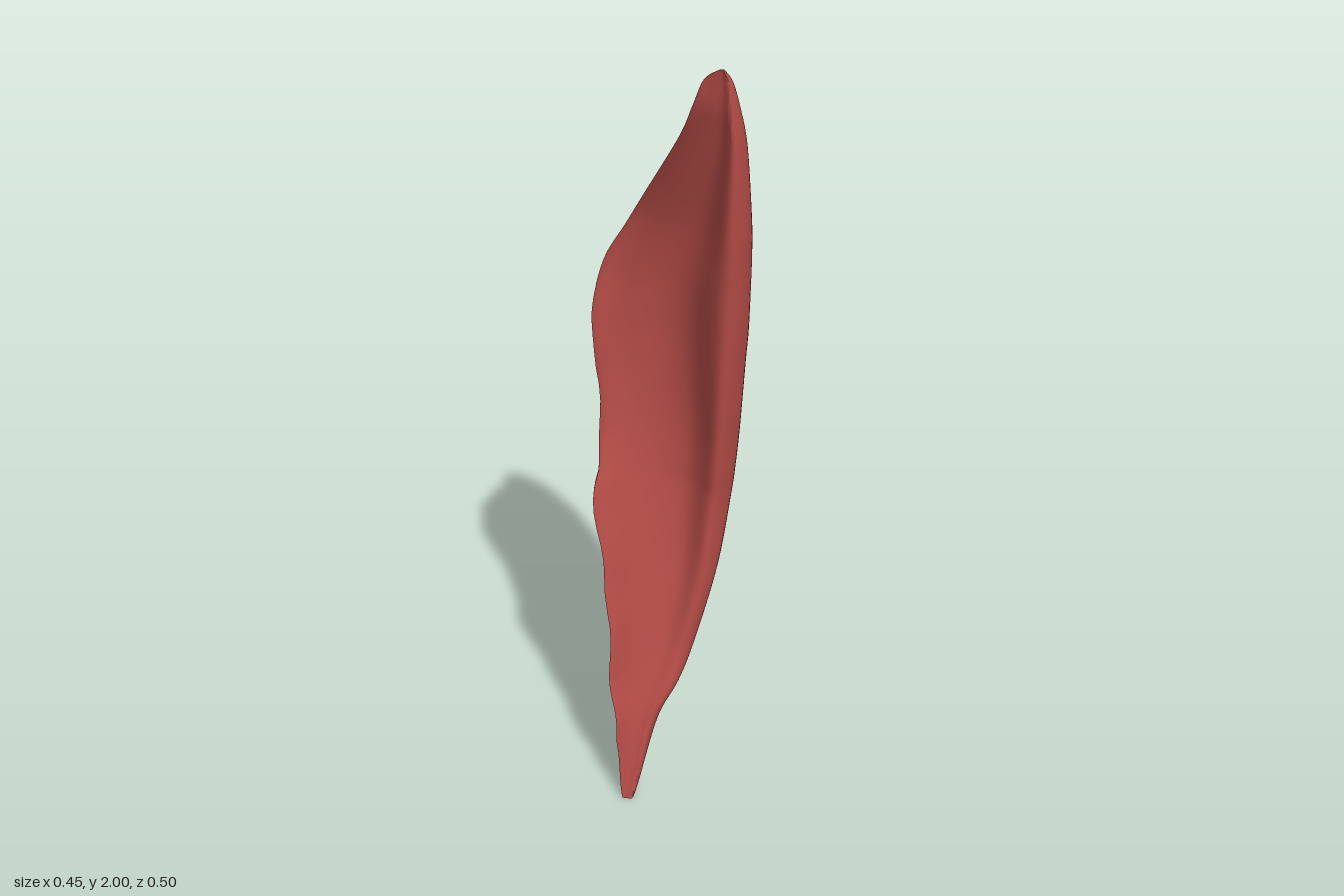
import * as THREE from 'three';
import { toCreasedNormals } from 'three/addons/utils/BufferGeometryUtils.js';

// Level rows: y, left edge x and z, right edge x and z, back z, front hollow z
const ROWS = [
  [0, 0.03, 0.25, 0.055, 0.245, 0.238, 0.247],
  [0.03, 0.022, 0.245, 0.06, 0.235, 0.2, 0.235],
  [0.2, 0, 0.222, 0.078, 0.165, 0.088, 0.17],
  [0.3, -0.03, 0.195, 0.115, 0.105, 0.018, 0.115],
  [0.4, -0.042, 0.168, 0.135, 0.05, -0.052, 0.058],
  [0.6, -0.085, 0.11, 0.167, -0.012, -0.145, -0.028],
  [0.8, -0.145, 0.05, 0.183, -0.048, -0.212, -0.088],
  [0.88, -0.155, 0, 0.19, -0.05, -0.226, -0.103],
  [1, -0.17, -0.05, 0.198, -0.05, -0.24, -0.12],
  [1.2, -0.213, -0.1, 0.21, -0.045, -0.244, -0.134],
  [1.29, -0.225, -0.128, 0.216, -0.045, -0.243, -0.136],
  [1.4, -0.214, -0.178, 0.22, -0.045, -0.235, -0.135],
  [1.5, -0.16, -0.197, 0.223, -0.045, -0.222, -0.13],
  [1.6, -0.1, -0.182, 0.224, -0.045, -0.201, -0.119],
  [1.8, 0.03, -0.105, 0.215, -0.05, -0.152, -0.086],
  [1.9, 0.08, -0.072, 0.2, -0.055, -0.12, -0.07],
  [1.97, 0.11, -0.068, 0.185, -0.06, -0.09, -0.068],
  [2, 0.15, -0.067, 0.165, -0.063, -0.073, -0.067],
];
const STEPS = 5;
const AROUND = 56;
const lerp = THREE.MathUtils.lerp;

// Smooth value of every column at a fractional row
function rowAt(t) {
  const i = Math.min(Math.floor(t), ROWS.length - 2);
  const f = t - i;
  const p0 = ROWS[Math.max(i - 1, 0)], p1 = ROWS[i], p2 = ROWS[i + 1];
  const p3 = ROWS[Math.min(i + 2, ROWS.length - 1)];
  return p1.map((b, k) => {
    const m1 = (p2[k] - p0[k]) / 2, m2 = (p3[k] - b) / 2, d = p2[k] - b;
    return b + f * (m1 + f * (3 * d - 2 * m1 - m2 + f * (m1 + m2 - 2 * d)));
  });
}

// Crescent cross-section: convex back, thin left edge, hollow front
function section([y, xl, zl, xr, zr, zb, zf]) {
  const w = xr - xl;
  const ragged = y > 0.15 && y < 1.1 ? 0.004 * Math.sin(y * 31) : 0;
  const loop = [
    [xl + ragged, zl],
    [xl + 0.08 * w, lerp(zl, zb, 0.68)],
    [xl + 0.42 * w, zb],
    [xl + 0.77 * w, lerp(zb, zr, 0.005)],
    [xl + 0.93 * w, lerp(zb, zr, 0.25)],
    [xr, lerp(zr, zb, 0.36)],
    [xr - 0.08 * w, zr],
    [xl + 0.62 * w, zf],
    [xl + 0.25 * w, lerp(zl, zf, 0.6)],
  ].map(([x, z]) => new THREE.Vector3(x, y, z));
  return new THREE.CatmullRomCurve3(loop, true, 'centripetal');
}

function muscleGeometry() {
  const position = [], index = [];
  const levels = (ROWS.length - 1) * STEPS;
  for (let i = 0; i <= levels; i++) {
    const row = rowAt(i / STEPS);
    const curve = section(row);
    const width = row[3] - row[1];
    for (let j = 0; j < AROUND; j++) {
      const p = curve.getPoint(j / AROUND);
      // Shallow fibre grooves running obliquely along the belly
      const groove = 0.007 * width * Math.sin(j * Math.PI / 4 + row[0] * 5);
      position.push(p.x, p.y, p.z + groove);
    }
  }
  for (let i = 0; i < levels; i++) {
    for (let j = 0; j < AROUND; j++) {
      const a = i * AROUND + j, b = i * AROUND + (j + 1) % AROUND;
      const c = a + AROUND, d = b + AROUND;
      index.push(a, c, b, b, c, d);
    }
  }
  // Close both tips
  const top = levels * AROUND;
  for (let j = 1; j < AROUND - 1; j++) {
    index.push(0, j, j + 1, top, top + j + 1, top + j);
  }
  const geometry = new THREE.BufferGeometry();
  geometry.setAttribute('position', new THREE.Float32BufferAttribute(position, 3));
  geometry.setIndex(index);
  return toCreasedNormals(geometry, 0.9);
}

export function createModel() {
  const group = new THREE.Group();
  group.name = 'muscle';
  const red = new THREE.MeshStandardMaterial({ color: 0xb04a45, side: THREE.DoubleSide });
  red.name = 'muscle red';
  const belly = new THREE.Mesh(muscleGeometry(), red);
  belly.name = 'muscleBelly';
  group.add(belly);
  return group;
}
